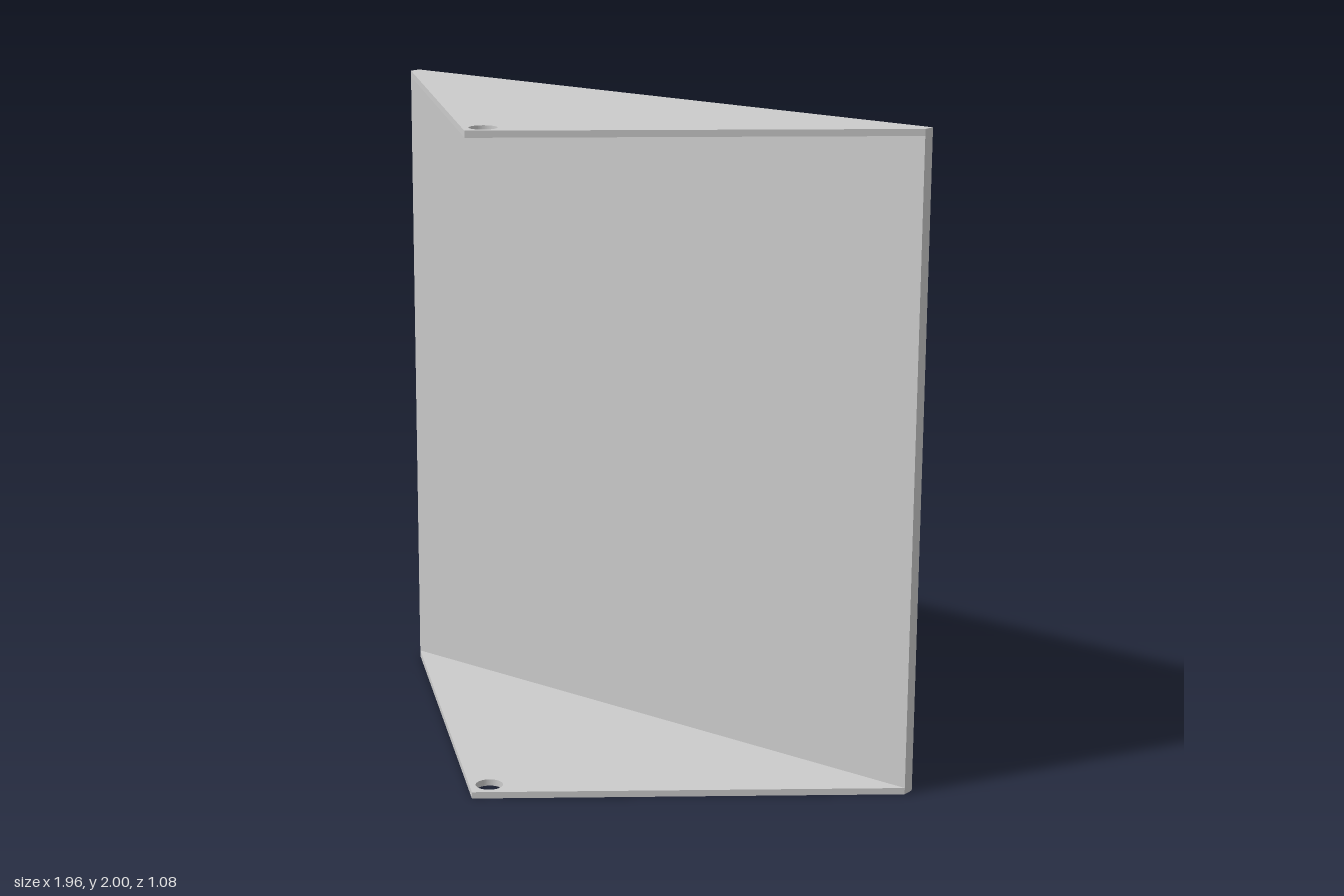
import * as THREE from 'three';

const HALF_WIDTH = 0.98, HEIGHT = 2, BACK = -0.343, FRONT = -0.304, TIP = 0.539;
const PLATE = 0.02;

export function createModel() {
  const group = new THREE.Group();
  const material = new THREE.MeshStandardMaterial({ color: 0xcccccc, flatShading: true });

  const add = (name, geometry, x, y, z) => {
    const mesh = new THREE.Mesh(geometry, material);
    mesh.name = name;
    mesh.position.set(x, y, z);
    group.add(mesh);
  };

  // Upright back panel
  add('backPanel', new THREE.BoxGeometry(HALF_WIDTH * 2, HEIGHT, FRONT - BACK),
    0, HEIGHT / 2, (BACK + FRONT) / 2);

  // Triangular end plates with a pivot hole near the tip (shape y becomes z)
  const triangle = new THREE.Shape([
    new THREE.Vector2(-HALF_WIDTH, FRONT),
    new THREE.Vector2(HALF_WIDTH, FRONT),
    new THREE.Vector2(0, TIP),
  ]);
  triangle.holes.push(new THREE.Path().absarc(0, 0.46, 0.041, 0, Math.PI * 2, true));
  const plate = new THREE.ExtrudeGeometry(triangle, { depth: PLATE, bevelEnabled: false, curveSegments: 32 });
  plate.rotateX(Math.PI / 2);
  add('bottomPlate', plate, 0, PLATE, 0);
  add('topPlate', plate, 0, HEIGHT, 0);

  // Pair of mounting lugs on the back
  const lug = new THREE.BoxGeometry(0.096, 0.39, 0.196);
  add('leftLug', lug, 0.244, 1.003, BACK - 0.098);
  add('rightLug', lug, -0.244, 1.003, BACK - 0.098);

  return group;
}
